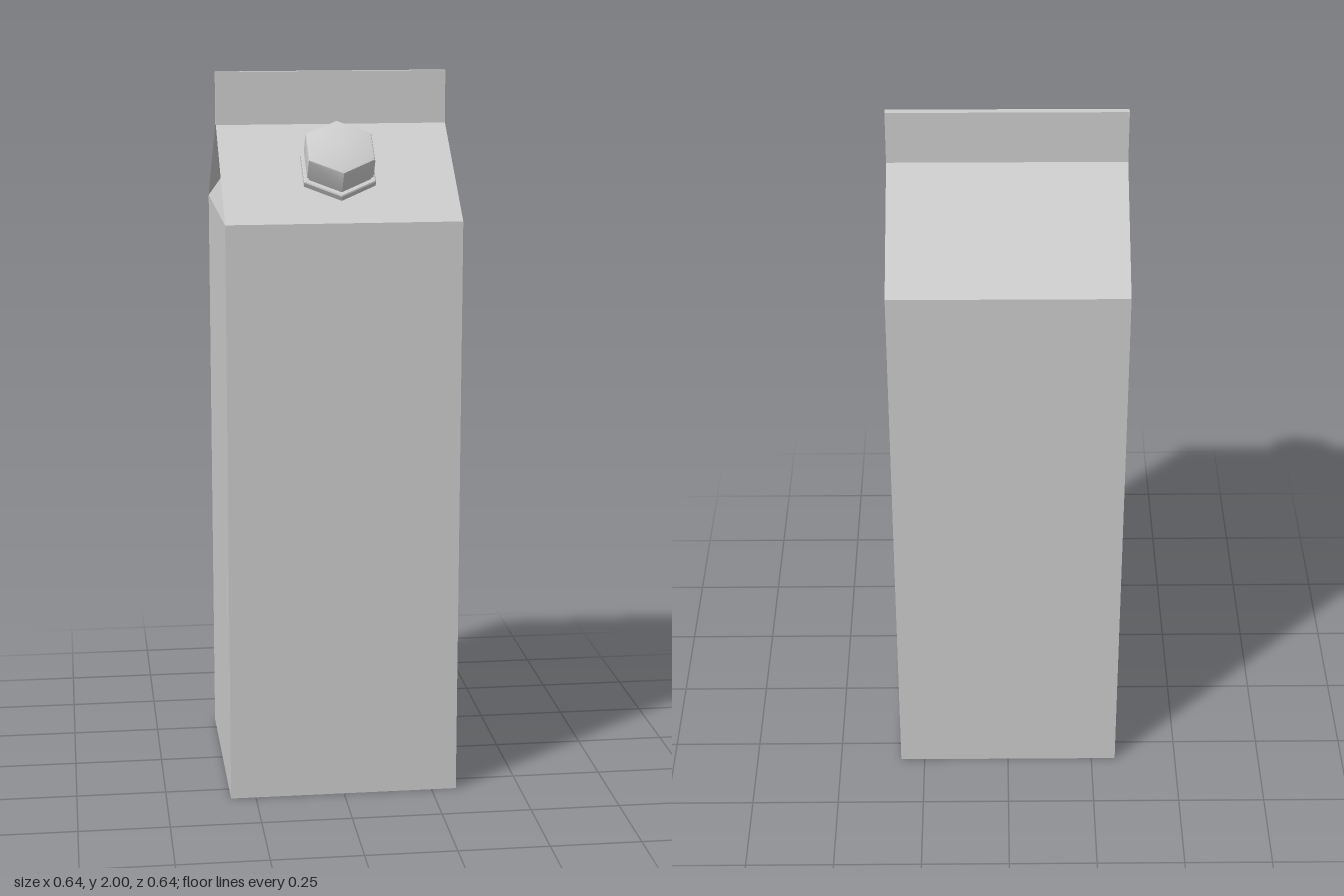
import * as THREE from 'three';
import { toCreasedNormals } from 'three/addons/utils/BufferGeometryUtils.js';

const HALF = 0.32, SHOULDER = 1.62, RIDGE = 1.855, TOP = 2;
const SEAM = 0.012; // half thickness of the top seam

export function createModel() {
  const group = new THREE.Group();
  group.name = 'carton';
  const material = new THREE.MeshStandardMaterial({ color: 0xcccccc });
  const add = (name, geometry, parent = group) => {
    const mesh = new THREE.Mesh(geometry, material);
    mesh.name = name;
    parent.add(mesh);
    return mesh;
  };

  // Flat-shaded surface from polygons, corners counter-clockwise from outside
  const facets = (polygons) => {
    const points = [];
    for (const p of polygons)
      for (let i = 1; i < p.length - 1; i++) points.push(...p[0], ...p[i], ...p[i + 1]);
    const geometry = new THREE.BufferGeometry();
    geometry.setAttribute('position', new THREE.Float32BufferAttribute(points, 3));
    geometry.computeVertexNormals();
    return geometry;
  };
  const flipX = (polygon) => polygon.map(([x, y, z]) => [-x, y, z]).reverse();

  // Carton body: four walls and a base, open beneath the roof
  const walls = [];
  for (const s of [1, -1]) {
    walls.push([[-HALF * s, 0, HALF * s], [HALF * s, 0, HALF * s],
      [HALF * s, SHOULDER, HALF * s], [-HALF * s, SHOULDER, HALF * s]]);
    walls.push([[HALF * s, 0, HALF * s], [HALF * s, 0, -HALF * s],
      [HALF * s, SHOULDER, -HALF * s], [HALF * s, SHOULDER, HALF * s]]);
  }
  walls.push([[-HALF, 0, -HALF], [HALF, 0, -HALF], [HALF, 0, HALF], [-HALF, 0, HALF]]);
  add('body', facets(walls));

  // Sloping roof panels, front and back
  const panels = [1, -1].map((s) => [
    [-HALF * s, SHOULDER, HALF * s], [HALF * s, SHOULDER, HALF * s],
    [HALF * s, RIDGE, SEAM * s], [-HALF * s, RIDGE, SEAM * s],
  ]);
  add('roofPanels', facets(panels));

  // Tucked-in gable ends: leaning triangle plus the folds up to the roof edges
  const front = [HALF, SHOULDER, HALF], back = [HALF, SHOULDER, -HALF];
  const apex = [0.23, 1.815, 0];
  const ridgeFront = [HALF, RIDGE, SEAM], ridgeBack = [HALF, RIDGE, -SEAM];
  const gable = [
    [front, back, apex],
    [front, apex, ridgeFront],
    [back, ridgeBack, apex],
    [ridgeFront, apex, ridgeBack],
  ];
  add('gableFolds', facets([...gable, ...gable.map(flipX)]));

  // Upright sealed seam, slightly thinner at the top
  const seam = new THREE.BoxGeometry(HALF * 2, TOP - RIDGE, SEAM * 2);
  const pos = seam.attributes.position;
  for (let i = 0; i < pos.count; i++)
    if (pos.getY(i) > 0) pos.setZ(i, pos.getZ(i) * 0.8);
  seam.computeVertexNormals();
  add('topSeam', seam).position.y = (TOP + RIDGE) / 2;

  // Six-sided spout and screw cap, standing square to the front roof panel
  const spout = new THREE.Group();
  spout.name = 'spout';
  spout.position.set(0, 1.739, 0.162);
  spout.rotation.x = Math.atan2(RIDGE - SHOULDER, HALF - SEAM);
  group.add(spout);
  const hexTurned = (profile) => toCreasedNormals(
    new THREE.LatheGeometry(profile.map(([r, y]) => new THREE.Vector2(r, y)), 6), 0.7);
  add('flange', hexTurned([[0, -0.005], [0.113, -0.005], [0.113, 0.016], [0.11, 0.019], [0, 0.019]]), spout);
  add('neck', hexTurned([[0.098, 0.015], [0.098, 0.035]]), spout);
  add('cap', hexTurned([[0, 0.03], [0.104, 0.03], [0.104, 0.088], [0.102, 0.093], [0.098, 0.095], [0, 0.095]]), spout);

  return group;
}
